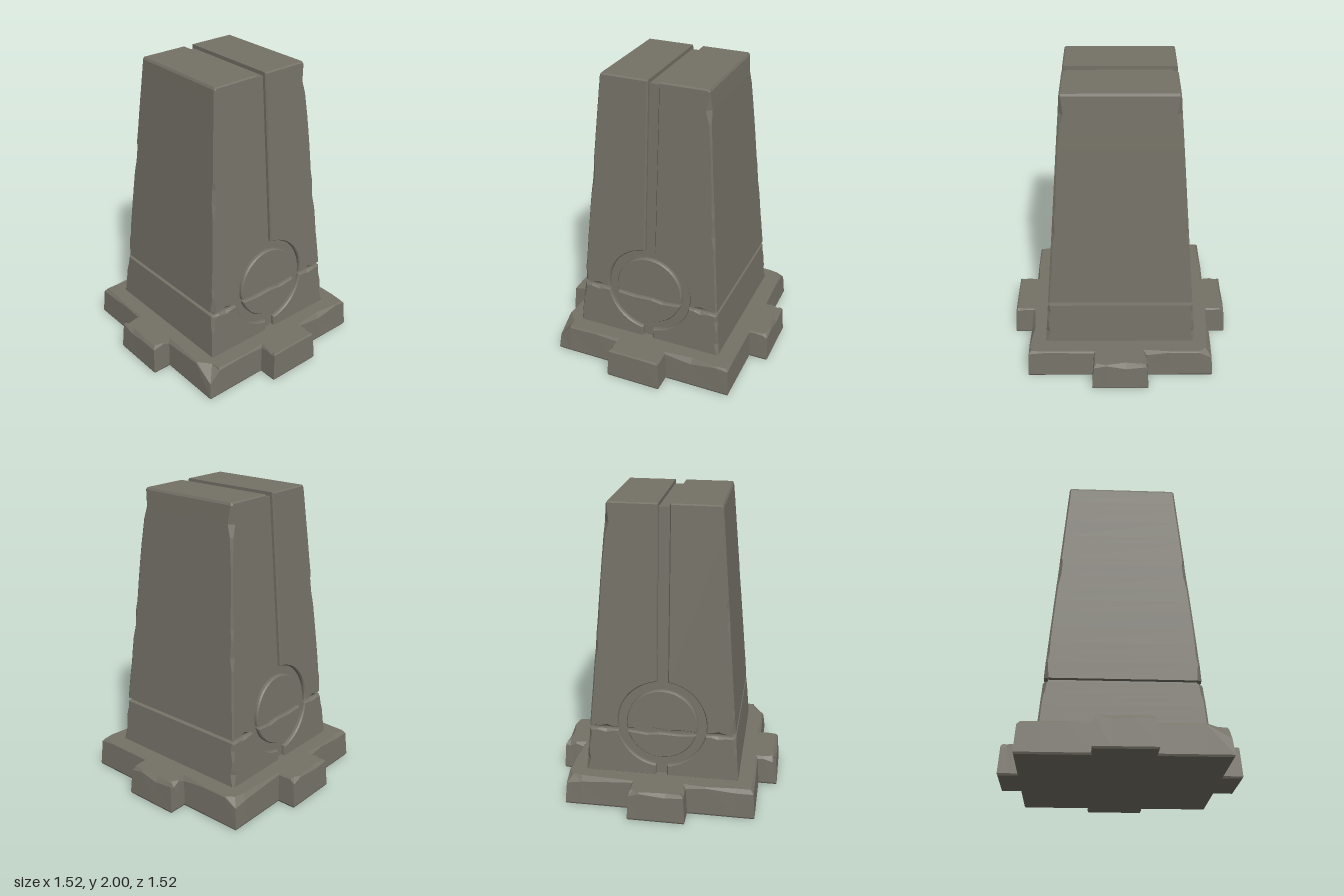
import * as THREE from 'three';

const RING_Y = 0.565, RING_OUT = 0.293, RING_IN = 0.235, SLOT = 0.036, BEVEL = 0.01;

// half width of the tapering tower at height y
const half = (y) => 0.51 - (y - 0.2) * (0.15 / 1.8);

function makeRandom(seed) {
  return () => {
    seed = (seed * 16807) % 2147483647;
    return seed / 2147483647;
  };
}

// points on a circle around the ring centre
function arc(radius, from, to, n = 20) {
  const pts = [];
  for (let i = 0; i <= n; i++) {
    const a = from + ((to - from) * i) / n;
    pts.push([radius * Math.cos(a), RING_Y + radius * Math.sin(a)]);
  }
  return pts;
}

// outer corner edge, worn inward by uneven chips
function wornEdge(y0, y1, n, rnd) {
  const pts = [];
  for (let i = 0; i <= n; i++) {
    const inner = i > 0 && i < n;
    const y = y0 + ((y1 - y0) * (i + (inner ? rnd() * 0.6 - 0.3 : 0))) / n;
    pts.push([half(y) - 0.001 - 0.022 * rnd() ** 4, y]);
  }
  return pts;
}

// outline run from front to back, both ends following the slope of the tower
function slopedBlock(points, seamY) {
  const shape = new THREE.Shape(points.map(([x, y]) => new THREE.Vector2(x, y)));
  const geo = new THREE.ExtrudeGeometry(shape, {
    depth: 2, steps: 1, bevelEnabled: true, bevelSegments: 1,
    bevelSize: 0.007, bevelOffset: -0.007, bevelThickness: BEVEL,
  });
  const p = geo.attributes.position;
  for (let i = 0; i < p.count; i++) {
    let x = p.getX(i), y = p.getY(i);
    const z = p.getZ(i) - 1;
    let depth = half(y) + Math.abs(z) - 1 - BEVEL;
    if (Math.abs(z) < 1 + BEVEL / 2) {
      // side walls stay flat: chips only widen the chamfer
      if (x > 0.32 && x > half(y) - 0.04 && y < 1.96) {
        depth -= half(y) - x;
        x = half(y);
      } else if (seamY && x > 0.05 && Math.abs(y - seamY) < 0.035 && x > RING_OUT + 0.01) {
        depth -= Math.abs(y - seamY) * 0.5;
        y = seamY;
      }
    }
    p.setXYZ(i, x, y, Math.sign(z) * depth);
  }
  geo.computeVertexNormals();
  return geo;
}

// four-sided tapered block
function frustum(y0, y1, inset) {
  const geo = new THREE.BoxGeometry(2, y1 - y0, 2).toNonIndexed();
  geo.translate(0, (y0 + y1) / 2, 0);
  const p = geo.attributes.position;
  for (let i = 0; i < p.count; i++) {
    const h = half(p.getY(i)) - inset;
    p.setX(i, p.getX(i) * h);
    p.setZ(i, p.getZ(i) * h);
  }
  geo.computeVertexNormals();
  return geo;
}

// square plinth with a tab on each side and a chipped upper rim
function plinthGeometry() {
  const rnd = makeRandom(77);
  const S = 0.632, T = 0.758, W = 0.19;
  const quarter = [[S, -S], [S, -W], [T, -W], [T, W], [S, W]];
  const corners = [];
  for (let k = 0; k < 4; k++) {
    for (const [x, z] of quarter) {
      const a = (k * Math.PI) / 2, c = Math.round(Math.cos(a)), s = Math.round(Math.sin(a));
      corners.push(new THREE.Vector2(x * c - z * s, x * s + z * c));
    }
  }
  const n = corners.length, pts = [];
  const normalOf = (i) => {
    const d = corners[(i + 1) % n].clone().sub(corners[i % n]).normalize();
    return new THREE.Vector2(d.y, -d.x);
  };
  for (let i = 0; i < n; i++) {
    const a = corners[i], b = corners[(i + 1) % n];
    const before = normalOf(i + n - 1), after = normalOf(i);
    pts.push({ at: a, out: before.clone().add(after), chip: 0.008 + 0.02 * rnd() ** 2 });
    for (const t of [0.3, 0.7]) {
      pts.push({ at: a.clone().lerp(b, t + rnd() * 0.2 - 0.1), out: after, chip: 0.006 + 0.022 * rnd() ** 3 });
    }
  }
  // two corners have lost larger pieces
  for (const q of pts) {
    if (q.at.x < -S + 0.01 && q.at.y > S - 0.01) q.chip = 0.07;
    if (q.at.x > S - 0.01 && q.at.y < -S + 0.01) q.chip = 0.04;
  }
  const layer = (inset, height) => pts.map((q) => {
    const v = q.at.clone().addScaledVector(q.out, -inset(q));
    return [v.x, height(q), v.y];
  });
  const layers = [
    layer(() => 0.006, () => 0),
    layer(() => 0, () => 0.012),
    layer(() => 0.012, (q) => 0.205 - q.chip * 1.3),
    layer((q) => 0.012 + q.chip, () => 0.205),
  ];
  const pos = [];
  const tri = (a, b, c) => pos.push(...a, ...b, ...c);
  for (let l = 0; l < 3; l++) {
    for (let i = 0; i < pts.length; i++) {
      const j = (i + 1) % pts.length, lo = layers[l], hi = layers[l + 1];
      tri(lo[i], hi[i], hi[j]);
      tri(lo[i], hi[j], lo[j]);
    }
  }
  for (const [ring, up] of [[layers[0], false], [layers[3], true]]) {
    const flat = ring.map(([x, , z]) => new THREE.Vector2(x, z));
    for (const [a, b, c] of THREE.ShapeUtils.triangulateShape(flat, [])) {
      const [A, B, C] = [flat[a], flat[b], flat[c]];
      const ccw = (B.x - A.x) * (C.y - A.y) - (B.y - A.y) * (C.x - A.x) > 0;
      if (ccw === up) tri(ring[a], ring[c], ring[b]);
      else tri(ring[a], ring[b], ring[c]);
    }
  }
  const geo = new THREE.BufferGeometry();
  geo.setAttribute('position', new THREE.Float32BufferAttribute(pos, 3));
  geo.computeVertexNormals();
  return geo;
}

export function createModel() {
  const model = new THREE.Group();
  model.name = 'stonePillar';
  const stone = new THREE.MeshStandardMaterial({ color: 0x757267 });
  stone.name = 'stone';
  const add = (name, geo, turn = 0) => {
    const mesh = new THREE.Mesh(geo, stone);
    mesh.name = name;
    mesh.rotation.y = turn;
    model.add(mesh);
  };

  add('plinth', plinthGeometry());
  // recessed core, seen at the bottom of the grooves
  add('core', frustum(0.19, 1.975, 0.028));

  const angleAt = (y, r) => Math.asin((y - RING_Y) / r);
  const slotAngle = Math.acos(SLOT / RING_OUT);
  for (const side of [0, 1]) {
    const rnd = makeRandom(311 + side * 97);
    // upper block, cut away around the ring
    add('upperBlock', slopedBlock([
      [SLOT, 2], [0.352, 2],
      ...wornEdge(1.985, 0.525, 16, rnd),
      [0.41, 0.522], [0.37, 0.535], [0.33, 0.522],
      ...arc(RING_OUT, angleAt(0.52, RING_OUT), slotAngle),
    ], 0.52), side * Math.PI);
    // lower block, cut away around the ring
    add('lowerBlock', slopedBlock([
      [SLOT, 0.2], [half(0.2), 0.2],
      ...wornEdge(0.22, 0.5, 5, rnd),
      [0.43, 0.504], [0.37, 0.492], [0.33, 0.504],
      ...arc(RING_OUT, angleAt(0.505, RING_OUT), -slotAngle),
    ], 0.505), side * Math.PI);
  }

  // round medallion inside the ring, split by the seam
  const up = angleAt(0.522, RING_IN), low = angleAt(0.504, RING_IN);
  add('medallionTop', slopedBlock([
    ...arc(RING_IN, up, Math.PI - up, 32), [-0.12, 0.53], [-0.04, 0.524], [0.06, 0.534],
  ]));
  add('medallionBottom', slopedBlock([
    ...arc(RING_IN, low, -Math.PI - low, 32), [-0.1, 0.498], [0.02, 0.503], [0.1, 0.492],
  ]));
  return model;
}
